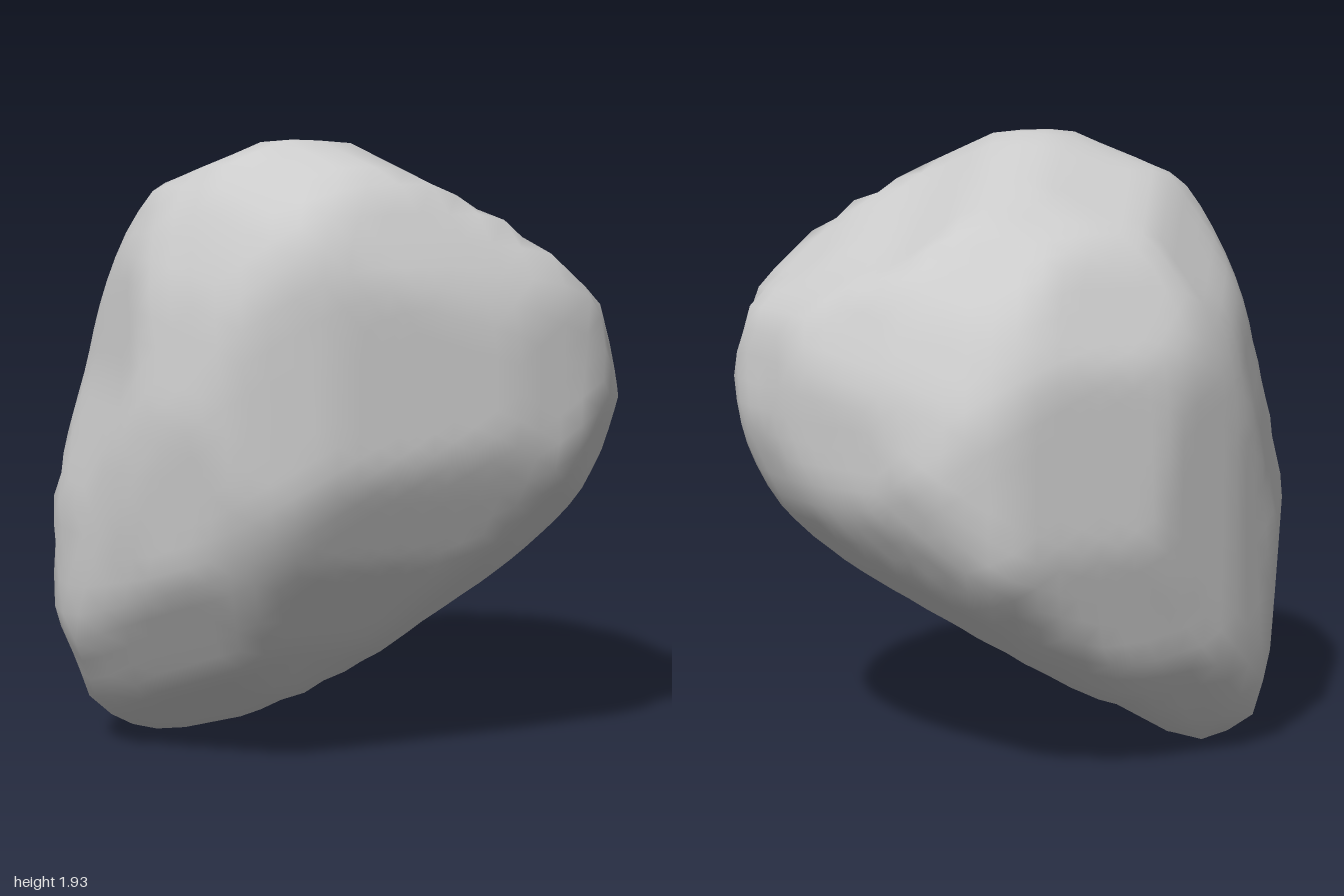
import * as THREE from 'three';
import { mergeVertices } from 'three/addons/utils/BufferGeometryUtils.js';

// Outline profiles (u right, v up, about the boulder's middle), each seen along one direction
const frontOutline = [-0.24, 1, 0.06, 0.97, 0.34, 0.83, 0.58, 0.6, 0.8, 0.41, 0.86, 0.11, 0.79, -0.16,
  0.57, -0.36, -0.32, -1, -0.69, -0.87, -0.75, -0.73, -0.86, -0.51, -0.84, -0.13, -0.73, 0.27, -0.68, 0.63, -0.54, 0.9];
const sideOutline = [-0.38, 1, -0.16, 0.97, 0.15, 0.84, 0.33, 0.78, 0.44, 0.71, 0.54, 0.6, 0.7, 0.3, 0.73, -0.23,
  0.64, -0.62, 0.37, -1, 0.06, -0.96, -0.2, -0.75, -0.4, -0.55, -0.57, -0.27, -0.68, -0.03, -0.74, 0.13, -0.74, 0.43,
  -0.69, 0.6, -0.58, 0.86];
const topOutline = [-0.86, 0, -0.85, 0.22, -0.7, 0.44, -0.42, 0.61, -0.08, 0.73, 0.3, 0.74, 0.42, 0.72, 0.63, 0.6,
  0.74, 0.32, 0.84, 0.02, 0.86, -0.26, 0.81, -0.5, 0.63, -0.68, 0.32, -0.73, -0.26, -0.69, -0.54, -0.58,
  -0.62, -0.51, -0.76, -0.28];
const frontCornerOutline = [-0.52, 0.88, -0.38, 0.91, -0.17, 0.9, 0.15, 0.82, 0.42, 0.71, 0.68, 0.48, 0.8, 0.25,
  0.85, 0.03, 0.79, -0.16, 0.67, -0.33, 0.36, -0.53, 0.18, -0.58, -0.22, -0.76, -0.53, -0.59, -0.75, -0.28,
  -0.8, 0.16, -0.74, 0.54, -0.63, 0.77];
const backCornerOutline = [0.16, 1.02, 0.41, 0.97, 0.64, 0.79, 0.76, 0.52, 0.8, 0.21, 0.78, -0.18, 0.7, -0.67,
  0.52, -0.96, 0.38, -1.05, 0.05, -1.1, -0.51, -0.65, -0.75, -0.39, -0.85, -0.08, -0.8, 0.26, -0.64, 0.57,
  -0.41, 0.69, -0.28, 0.81, -0.06, 0.96];
const underCornerOutline = [0.05, 0.84, 0.42, 0.73, 0.67, 0.45, 0.74, 0.13, 0.81, -0.28, 0.79, -0.61, 0.73, -0.84,
  0.53, -0.95, 0.3, -0.9, 0.04, -0.79, -0.22, -0.64, -0.59, -0.34, -0.82, -0.1, -0.94, 0.18, -0.88, 0.44,
  -0.58, 0.62, -0.35, 0.7, -0.13, 0.82];

const BINS = 44;

// Distance from the middle to an outline along the 2D direction (a, b)
function reach(outline, a, b) {
  const n = outline.length;
  let best = 0;
  for (let i = 0; i < n; i += 2) {
    const px = outline[i], py = outline[i + 1];
    const ex = outline[(i + 2) % n] - px, ey = outline[(i + 3) % n] - py;
    const det = a * ey - b * ex;
    if (Math.abs(det) < 1e-9) continue;
    const t = (px * ey - py * ex) / det;
    const s = (px * b - py * a) / det;
    if (t > 0 && s >= -1e-6 && s <= 1 + 1e-6) best = Math.max(best, t);
  }
  return best;
}

// For an outline at an azimuth and elevation: each direction's share of the outline and its angular bin
function project(directions, outline, azimuth, elevation) {
  const az = THREE.MathUtils.degToRad(azimuth), el = THREE.MathUtils.degToRad(elevation);
  const hx = Math.sin(az), hz = Math.cos(az);
  return directions.map((d) => {
    const a = d.x * hz - d.z * hx;
    const b = d.y * Math.cos(el) - (d.x * hx + d.z * hz) * Math.sin(el);
    const share = Math.hypot(a, b) < 1e-4 ? 0 : 1 / reach(outline, a, b);
    return { share, bin: Math.floor((Math.atan2(b, a) / (2 * Math.PI) + 0.5) * BINS) % BINS };
  });
}

// Neighbours of every vertex
function findNeighbours(geometry) {
  const rings = Array.from({ length: geometry.attributes.position.count }, () => []);
  const index = geometry.index;
  for (let i = 0; i < index.count; i += 3) {
    for (let j = 0; j < 3; j++) rings[index.getX(i + j)].push(index.getX(i + (j + 1) % 3));
  }
  return rings;
}

// Relax the radii towards their neighbours for rounded transitions
function relax(radii, rings) {
  const old = radii.slice();
  rings.forEach((ring, i) => {
    radii[i] = 0.5 * old[i] + 0.5 * ring.reduce((s, n) => s + old[n], 0) / ring.length;
  });
}

// Raise hollows to the level of their neighbours, as far as the outlines allow
function fillHollows(radii, rings, directions, caps, passes) {
  for (let k = 0; k < passes; k++) {
    rings.forEach((ring, i) => {
      const level = ring.reduce((s, n) => s + radii[n] * directions[n].dot(directions[i]), 0) / ring.length;
      radii[i] = Math.min(caps[i], Math.max(radii[i], level));
    });
  }
}

// One sculpting stroke: a soft brush pulls the outermost point of every bin onto its outline
function sculpt(radii, directions, views, width) {
  const pulls = [];
  for (const view of views) {
    const outer = new Array(BINS).fill(-1);
    view.forEach(({ share, bin }, i) => {
      const o = outer[bin];
      if (o < 0 || share * radii[i] > view[o].share * radii[o]) outer[bin] = i;
    });
    for (const o of outer) {
      if (o >= 0) pulls.push({ at: directions[o], amount: -Math.log(view[o].share * radii[o]) });
    }
  }
  directions.forEach((d, i) => {
    let sum = 0, weight = 0;
    for (const { at, amount } of pulls) {
      const w = Math.exp((d.dot(at) - 1) / (width * width));
      sum += w * amount;
      weight += w;
    }
    radii[i] *= Math.exp(sum / Math.max(1, weight));
  });
}

export function createModel() {
  // Evenly divided sphere
  let geometry = new THREE.IcosahedronGeometry(1, 12);
  geometry.deleteAttribute('uv');
  geometry.deleteAttribute('normal');
  geometry = mergeVertices(geometry, 1e-4);
  const pos = geometry.attributes.position;
  const rings = findNeighbours(geometry);
  const directions = rings.map((_, i) => new THREE.Vector3().fromBufferAttribute(pos, i).normalize());
  const views = [
    project(directions, frontOutline, 0, 0),
    project(directions, sideOutline, 90, 0),
    project(directions, topOutline, 0, 90),
    project(directions, frontCornerOutline, 35, 20),
    project(directions, backCornerOutline, 215, 20),
    project(directions, underCornerOutline, 145, -20),
  ];
  const caps = directions.map((_, i) => 1 / Math.max(...views.map((v) => v[i].share)));

  // Rough block from a soft minimum of the outlines, rounded, then sculpted from broad to fine
  const radii = directions.map((_, i) => Math.pow(views.reduce((s, v) => s + Math.pow(v[i].share, 12), 0), -1 / 12));
  for (let k = 0; k < 6; k++) relax(radii, rings);
  const strokes = 36;
  for (let k = 0; k < strokes; k++) {
    sculpt(radii, directions, views, THREE.MathUtils.lerp(0.4, 0.11, k / (strokes - 1)));
    if (k < 18) relax(radii, rings);
    fillHollows(radii, rings, directions, caps, 6);
  }

  // Stand it on the ground
  directions.forEach((d, i) => pos.setXYZ(i, d.x * radii[i], d.y * radii[i] + 1, d.z * radii[i]));
  geometry.computeVertexNormals();

  const boulder = new THREE.Mesh(geometry, new THREE.MeshStandardMaterial({ color: 0xcccccc }));
  boulder.name = 'boulder';
  const group = new THREE.Group();
  group.name = 'rock';
  group.add(boulder);
  return group;
}
